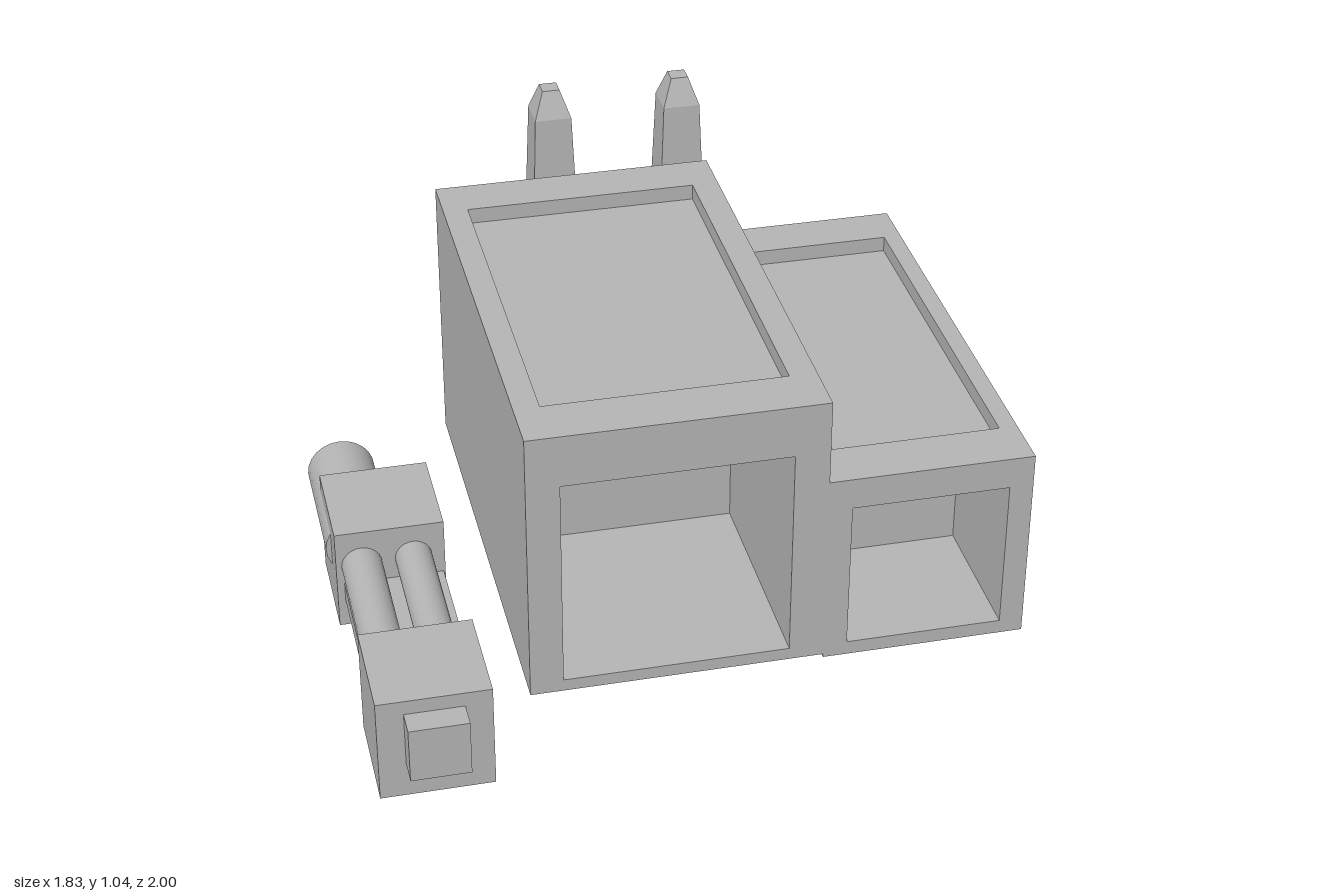
import * as THREE from 'three';

export function createModel() {
  const model = new THREE.Group();
  const grey = new THREE.MeshStandardMaterial({ color: 0xb4b4b4, side: THREE.DoubleSide });
  grey.name = 'concrete grey';

  function add(parent, name, geometry) {
    const mesh = new THREE.Mesh(geometry, grey);
    mesh.name = name;
    parent.add(mesh);
    return mesh;
  }

  // Box from its limits; listed faces are left out (0 +x, 1 -x, 2 +y, 3 -y, 4 +z, 5 -z)
  function box([x0, x1], [y0, y1], [z0, z1], omit = []) {
    const g = new THREE.BoxGeometry(x1 - x0, y1 - y0, z1 - z0);
    const index = Array.from(g.index.array);
    g.setIndex(index.filter((_, i) => !omit.includes(Math.floor(i / 6))));
    g.clearGroups();
    return g.translate((x0 + x1) / 2, (y0 + y1) / 2, (z0 + z1) / 2);
  }

  // Flat rectangle with a rectangular hole
  function frame([u0, u1], [v0, v1], [a0, a1], [b0, b1]) {
    const rect = (T, l, r, b, t) => new T([[l, b], [r, b], [r, t], [l, t]].map(p => new THREE.Vector2(...p)));
    const shape = rect(THREE.Shape, u0, u1, v0, v1);
    shape.holes.push(rect(THREE.Path, a0, a1, b0, b1));
    return new THREE.ShapeGeometry(shape);
  }

  // Hall: shell open underneath, with a sunken roof panel and a deep front bay
  function hall(name, { x, y, z, roofX, roofZ, roofDepth, bayX, bayY, bayBack }) {
    const group = new THREE.Group();
    group.name = name;
    model.add(group);
    add(group, 'walls', box(x, y, z, [2, 3, 4]));
    const flip = ([a, b]) => [-b, -a];
    add(group, 'roofRim', frame(x, flip(z), roofX, flip(roofZ)).rotateX(-Math.PI / 2).translate(0, y[1], 0));
    add(group, 'roofRecess', box(roofX, [y[1] - roofDepth, y[1]], roofZ, [2]));
    add(group, 'frontFrame', frame(x, y, bayX, bayY).translate(0, 0, z[1]));
    add(group, 'frontBay', box(bayX, bayY, [bayBack, z[1]], [4]));
  }

  hall('mainHall', {
    x: [-0.45, 0.35], y: [0.01, 0.81], z: [-0.77, 0.58],
    roofX: [-0.38, 0.275], roofZ: [-0.63, 0.43], roofDepth: 0.045,
    bayX: [-0.36, 0.255], bayY: [0.045, 0.66], bayBack: -0.07,
  });
  hall('sideHall', {
    x: [0.35, 0.91], y: [0, 0.565], z: [-0.77, 0.58],
    roofX: [0.4, 0.86], roofZ: [-0.63, 0.43], roofDepth: 0.045,
    bayX: [0.415, 0.845], bayY: [0.04, 0.475], bayBack: 0.17,
  });

  // Chimneys: stacked square frustums, open underneath
  const levels = [[0.01, 0.23], [0.25, 0.23], [0.39, 0.15], [0.96, 0.106], [1.04, 0.05]];
  for (const [name, x] of [['rightChimney', -0.09], ['leftChimney', 0.29]]) {
    const group = new THREE.Group();
    group.name = name;
    group.position.set(x, 0, -0.885);
    model.add(group);
    for (let i = 0; i < levels.length - 1; i++) {
      const [y0, w0] = levels[i], [y1, w1] = levels[i + 1];
      const g = new THREE.CylinderGeometry(w1 * Math.SQRT1_2, w0 * Math.SQRT1_2, y1 - y0, 4, 1, true)
        .rotateY(Math.PI / 4).translate(0, (y0 + y1) / 2, 0).toNonIndexed();
      g.computeVertexNormals();
      add(group, 'chimneySection', g);
    }
    add(group, 'chimneyCap', new THREE.PlaneGeometry(0.05, 0.05).rotateX(-Math.PI / 2).translate(0, 1.04, 0));
  }

  // Pipe unit: two blocks joined by pipes over a flat bed
  const unit = new THREE.Group();
  unit.name = 'pipeUnit';
  model.add(unit);
  const blockX = [-0.9, -0.605], blockY = [0.03, 0.325];
  add(unit, 'frontBlock', box(blockX, blockY, [0.635, 0.93]));
  add(unit, 'rearBlock', box(blockX, blockY, [-0.105, 0.19]));
  add(unit, 'frontNub', box([-0.83, -0.675], [0.13, 0.285], [0.93, 1]));
  add(unit, 'bed', box([-0.88, -0.61], [0.11, 0.165], [0.19, 0.635]));

  function pipe(name, x, y, r, z0, z1) {
    add(unit, name, new THREE.CylinderGeometry(r, r, z1 - z0, 24).rotateX(Math.PI / 2))
      .position.set(x, y, (z0 + z1) / 2);
  }
  pipe('outerPipe', -0.83, 0.22, 0.055, 0.19, 0.635);
  pipe('innerPipe', -0.69, 0.225, 0.05, 0.19, 0.635);
  pipe('largeRearDrum', -0.822, 0.22, 0.093, -0.28, 0.1);
  pipe('smallRearPipe', -0.687, 0.17, 0.043, -0.185, -0.1);

  return model;
}
